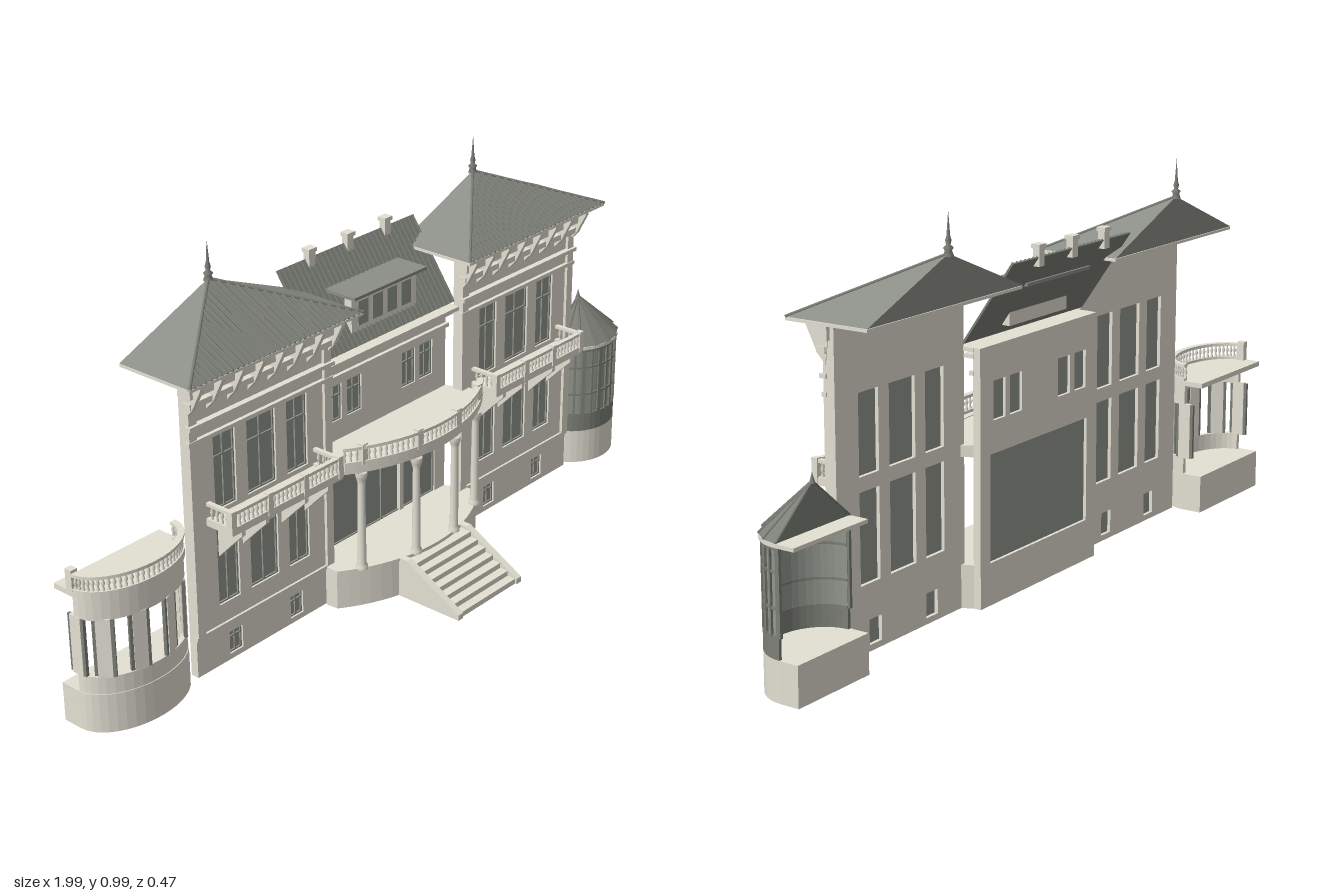
import * as THREE from 'three';

const mat = (name, color) => new THREE.MeshStandardMaterial({ name, color, side: THREE.DoubleSide });

export function createModel() {
  const stone = mat('stone', 0xe3e0d3), glass = mat('glass', 0x93978e);
  const slate = mat('slate', 0x8c8f87), tile = mat('roof tile and turret frame', 0x7d8078);
  const model = new THREE.Group();

  const add = (parent, name, geo, m, x = 0, y = 0, z = 0) => {
    const o = new THREE.Mesh(geo, m);
    o.name = name;
    o.position.set(x, y, z);
    parent.add(o);
    return o;
  };
  const group = (name, parent = model) => {
    const g = new THREE.Group();
    g.name = name;
    parent.add(g);
    return g;
  };
  // box from its two corners
  const box = (p, name, m, x0, x1, y0, y1, z0, z1) =>
    add(p, name, new THREE.BoxGeometry(x1 - x0, y1 - y0, z1 - z0), m, (x0 + x1) / 2, (y0 + y1) / 2, (z0 + z1) / 2);
  // plan outline of [x, z] points raised from y0 to y1
  const slab = (p, name, m, pts, y0, y1) => {
    const s = new THREE.Shape(pts.map(([x, z]) => new THREE.Vector2(x, -z)));
    const g = new THREE.ExtrudeGeometry(s, { depth: y1 - y0, bevelEnabled: false }).rotateX(-Math.PI / 2);
    return add(p, name, g, m, 0, y0, 0);
  };
  // side outline of [z, y] points, given width along x
  const sidePlate = (p, name, m, pts, x, w) => {
    const s = new THREE.Shape(pts.map(([z, y]) => new THREE.Vector2(-z, y)));
    const g = new THREE.ExtrudeGeometry(s, { depth: w, bevelEnabled: false }).rotateY(Math.PI / 2);
    return add(p, name, g, m, x - w / 2, 0, 0);
  };
  const arc = (e, off = 0, n = 20) => Array.from({ length: n + 1 }, (_, i) => {
    const a = -e.a + 2 * e.a * i / n;
    return [e.x + (e.rx + off) * Math.sin(a), e.z + (e.rz + off) * Math.cos(a), a];
  });
  const arcBand = (p, name, m, e, o0, o1, y0, y1) =>
    slab(p, name, m, [...arc(e, o1), ...arc(e, o0).reverse()], y0, y1);
  // wall sheet with rectangular openings [x0, x1, y0, y1], each glazed and framed
  const wall = (p, name, x0, x1, y0, y1, zb, zf, holes) => {
    const rect = (C, a, b, c, d) => new C([[a, c], [b, c], [b, d], [a, d]].map(q => new THREE.Vector2(...q)));
    const s = rect(THREE.Shape, x0, x1, y0, y1);
    holes.forEach(h => s.holes.push(rect(THREE.Path, ...h)));
    add(p, name, new THREE.ExtrudeGeometry(s, { depth: zf - zb, bevelEnabled: false }), stone, 0, 0, zb);
    holes.forEach(([a, b, c, d]) => {
      const z = (zb + zf) / 2, t = 0.004;
      box(p, 'windowPane', glass, a, b, c, d, z - 0.002, z + 0.002);
      for (const x of [a + t / 2, (a + b) / 2, b - t / 2]) box(p, 'windowFrame', glass, x - t / 2, x + t / 2, c, d, z, z + 0.006);
      for (const y of [c + t / 2, c + (d - c) * 0.7, d - t / 2]) box(p, 'windowFrame', glass, a, b, y - t / 2, y + t / 2, z, z + 0.006);
    });
  };
  const lathe = (pts, n = 8) => new THREE.LatheGeometry(pts.map(q => new THREE.Vector2(...q)), n);
  const balusterGeo = lathe([[0.004, 0], [0.004, 0.006], [0.002, 0.012], [0.005, 0.022], [0.002, 0.034], [0.004, 0.04]], 6);
  const balusters = (p, pts, y, h) => pts.forEach(([x, z]) => {
    add(p, 'baluster', balusterGeo, stone, x, y, z).scale.y = h / 0.04;
  });
  const arcRailing = (p, e, y, h, n) => {
    arcBand(p, 'bottomRail', stone, e, -0.012, 0.002, y, y + 0.007);
    arcBand(p, 'handrail', stone, e, -0.013, 0.003, y + h - 0.008, y + h);
    balusters(p, arc(e, -0.005, n), y + 0.006, h - 0.013);
  };

  // side wings, each a wall sheet with balcony, cornice and half-pyramid roof
  for (const [side, cx] of [['right', -0.447], ['left', 0.515]]) {
    const w = group(side + 'Wing');
    w.position.x = cx;
    const holes = [];
    for (const [a, b] of [[-0.155, -0.085], [-0.047, 0.047], [0.085, 0.155]])
      holes.push([a, b, 0.16, 0.375], [a, b, 0.41, 0.6]);
    for (const x of [-0.105, 0.105]) holes.push([x - 0.022, x + 0.022, 0.015, 0.075]);
    wall(w, 'wingWall', -0.234, 0.234, 0, 0.77, -0.09, -0.068, holes);
    box(w, 'plinthBand', stone, -0.236, 0.236, 0.1, 0.11, -0.07, -0.062);
    box(w, 'cornice', stone, -0.238, 0.238, 0.605, 0.615, -0.07, -0.058);
    box(w, 'cornice', stone, -0.238, 0.238, 0.645, 0.655, -0.07, -0.052);
    box(w, 'frieze', stone, -0.24, 0.24, 0.7, 0.715, -0.07, -0.047);
    box(w, 'frieze', stone, -0.245, 0.245, 0.73, 0.77, -0.08, -0.04);
    for (const x of [-0.222, 0.222]) box(w, 'cornerPilaster', stone, x - 0.012, x + 0.012, 0.11, 0.7, -0.07, -0.06);
    for (let i = 0; i < 8; i++)
      sidePlate(w, 'eaveBracket', stone, [[-0.016, 0.77], [-0.016, 0.757], [-0.03, 0.73], [-0.045, 0.7], [-0.068, 0.675], [-0.08, 0.77]], -0.23 + i * 0.46 / 7, 0.012);

    // balcony
    const b = group('balcony', w);
    box(b, 'balconyFloor', stone, -0.185, 0.185, 0.385, 0.398, -0.07, 0.015);
    for (const [name, y, h] of [['bottomRail', 0.398, 0.006], ['handrail', 0.436, 0.008]]) {
      box(b, name, stone, -0.185, 0.185, y, y + h, 0.003, 0.015);
      for (const s of [-1, 1]) box(b, name, stone, s * 0.179 - 0.006, s * 0.179 + 0.006, y, y + h, -0.07, 0.004);
    }
    const pts = [];
    for (let i = 0; i < 25; i++) pts.push([-0.17 + i * 0.34 / 24, 0.009]);
    for (const s of [-1, 1]) for (let i = 0; i < 4; i++) pts.push([s * 0.179, -0.055 + i * 0.016]);
    balusters(b, pts, 0.402, 0.036);
    for (const x of [-0.18, -0.06, 0.06, 0.18]) box(b, 'railingPost', stone, x - 0.008, x + 0.008, 0.39, 0.447, 0.001, 0.017);
    for (const x of [-0.145, -0.066, 0.066, 0.145])
      sidePlate(b, 'balconyBracket', stone, [[0.01, 0.387], [0.01, 0.37], [-0.025, 0.335], [-0.068, 0.29], [-0.068, 0.387]], x, 0.012);

    // half-pyramid roof
    const r = group('wingRoof', w), H = 0.283, y0 = 0.78, y1 = 0.895, zb = -0.22;
    box(r, 'eaves', stone, -H, H, 0.772, y0 - 0.001, zb, 0);
    const g = new THREE.BufferGeometry();
    const A = [-H, y0, 0], B = [H, y0, 0], C = [H, y0, zb], D = [-H, y0, zb], P = [0, y1, zb];
    g.setAttribute('position', new THREE.Float32BufferAttribute([B, C, P, C, D, P, D, A, P].flat(), 3));
    g.computeVertexNormals();
    add(r, 'roofSides', g, slate);
    const f = new THREE.BufferGeometry();
    f.setAttribute('position', new THREE.Float32BufferAttribute([A, B, P].flat(), 3));
    f.computeVertexNormals();
    add(r, 'roofFront', f, tile);
    const slope = Math.hypot(y1 - y0, zb), tilt = Math.atan2(zb, y1 - y0);
    for (let i = -16; i <= 16; i++) {
      const x = i * H / 17, k = 1 - Math.abs(i) / 17;
      const rib = add(r, 'tileRib', new THREE.CylinderGeometry(0.0035, 0.0035, slope * k, 6), tile, x, y0 + (y1 - y0) * k / 2, zb * k / 2);
      rib.rotation.x = tilt;
    }
    for (const s of [-1, 1]) {
      const hip = new THREE.LineCurve3(new THREE.Vector3(s * H, y0, 0), new THREE.Vector3(...P));
      add(r, 'hipRidge', new THREE.TubeGeometry(hip, 1, 0.004, 6), tile);
    }
    add(r, 'finial', lathe([[0.012, 0], [0.008, 0.012], [0.012, 0.018], [0.005, 0.024], [0.007, 0.034], [0.004, 0.045], [0.003, 0.06], [0, 0.1]]), tile, 0, 0.89, zb);
  }

  // central block
  const c = group('centralBlock'), cx = 0.035;
  wall(c, 'centralWall', -0.212, 0.282, 0, 0.63, -0.137, -0.117, [
    [-0.165, -0.115, 0.45, 0.545], [-0.095, -0.042, 0.45, 0.545], [0.112, 0.162, 0.45, 0.545], [0.18, 0.23, 0.45, 0.545],
    [-0.172, 0.242, 0.105, 0.37]]);
  for (const x of [-0.04, 0.108]) box(c, 'doorPost', stone, x - 0.007, x + 0.007, 0.105, 0.37, -0.125, -0.115);
  for (const [y, d] of [[0.565, 0.01], [0.605, 0.025], [0.62, 0.045]]) box(c, 'cornice', stone, -0.214, 0.284, y, y + 0.01, -0.12, -0.117 + d);
  // sloping tiled roof sheet
  const cr = group('centralRoof'), len = Math.hypot(0.2, 0.138), ang = -Math.atan2(0.138, 0.2);
  add(cr, 'roofSheet', new THREE.BoxGeometry(0.5, len, 0.004), tile, cx, 0.738, -0.16).rotation.x = ang;
  for (let i = 0; i <= 30; i++)
    add(cr, 'tileRib', new THREE.CylinderGeometry(0.003, 0.003, len, 6), tile, cx - 0.246 + i * 0.0164, 0.739, -0.158).rotation.x = ang;
  for (const x of [-0.105, 0.033, 0.172]) {
    box(cr, 'chimney', stone, x - 0.011, x + 0.011, 0.815, 0.86, -0.232, -0.214);
    box(cr, 'chimneyCap', stone, x - 0.014, x + 0.014, 0.857, 0.867, -0.235, -0.211);
  }
  // dormer
  box(cr, 'dormerFront', stone, -0.085, 0.155, 0.66, 0.762, -0.131, -0.108);
  box(cr, 'dormerRoof', slate, -0.1, 0.168, 0.762, 0.77, -0.19, -0.084);
  for (let i = 0; i < 4; i++) {
    const x = -0.045 + i * 0.053;
    box(cr, 'dormerPane', glass, x - 0.018, x + 0.018, 0.682, 0.745, -0.109, -0.105);
  }

  // curved porch
  const p = group('porch');
  const e = { x: cx, z: -0.392, rx: 0.457, rz: 0.457, a: 0.645 };
  const plan = off => [...arc(e, off), [cx + 0.275, -0.06], [0.28, -0.12], [-0.21, -0.12], [cx - 0.275, -0.06]];
  slab(p, 'porchBase', stone, plan(-0.004), 0, 0.098);
  slab(p, 'porchFloor', stone, plan(0), 0.098, 0.107);
  slab(p, 'balconyFloor', stone, plan(0), 0.37, 0.398);
  const er = { ...e, a: 0.6, rx: 0.467, rz: 0.467 };
  arcBand(p, 'balconyEdge', stone, er, -0.03, 0, 0.383, 0.4);
  arcRailing(p, er, 0.4, 0.046, 36);
  const columnGeo = lathe([[0.015, 0], [0.015, 0.008], [0.011, 0.016], [0.0105, 0.1], [0.009, 0.235], [0.013, 0.25], [0.015, 0.256], [0.015, 0.265]], 12);
  for (const dx of [-0.22, -0.074, 0.074, 0.22]) {
    const z = e.z + Math.sqrt(0.455 ** 2 - dx * dx);
    add(p, 'column', columnGeo, stone, cx + dx, 0.106, z);
    box(p, 'railingPost', stone, cx + dx - 0.009, cx + dx + 0.009, 0.398, 0.45, z - 0.004, z + 0.014);
  }
  // steps with sloping cheek walls
  const st = group('frontStairs');
  for (let i = 0; i < 7; i++) box(st, 'step', stone, -0.075, 0.145, 0, 0.014 * (i + 1), 0.04, 0.23 - i * 0.024);
  for (const x of [-0.081, 0.151])
    sidePlate(st, 'stairCheek', stone, [[0.235, 0], [0.235, 0.015], [0.07, 0.107], [0.04, 0.107], [0.04, 0]], x, 0.018);

  // rounded bay with a roof terrace: broad pillars between narrow framed openings
  const lb = group('terraceBay');
  const eb = { x: -0.84, z: -0.12, rx: 0.157, rz: 0.1, a: Math.PI / 2 };
  const bayPlan = (q, off) => [...arc(q, off), [q.x + q.rx + off, -0.175], [q.x - q.rx - off, -0.175]];
  slab(lb, 'bayBase', stone, bayPlan(eb, 0), 0, 0.1);
  arcBand(lb, 'baySill', stone, eb, -0.014, -0.002, 0.1, 0.145);
  arcBand(lb, 'bayLintel', stone, eb, -0.014, -0.002, 0.29, 0.35);
  slab(lb, 'bayCeiling', stone, bayPlan(eb, 0.002), 0.345, 0.358);
  arcRailing(lb, eb, 0.358, 0.045, 32);
  arc(eb, -0.008, 5).forEach(([x, z, a]) => {
    add(lb, 'bayPillar', new THREE.BoxGeometry(0.034, 0.15, 0.012), stone, x, 0.218, z).rotation.y = a;
    for (const s of [-1, 1])
      add(lb, 'bayFrame', new THREE.BoxGeometry(0.008, 0.147, 0.008), tile, x + s * 0.021 * Math.cos(a), 0.218, z - s * 0.021 * Math.sin(a)).rotation.y = a;
  });
  box(lb, 'terracePost', stone, -0.999, -0.981, 0.358, 0.41, -0.135, -0.115);

  // glazed half-round turret
  const t = group('glazedTurret');
  const et = { x: 0.87, z: -0.125, rx: 0.118, rz: 0.105, a: Math.PI / 2 };
  slab(t, 'turretBase', stone, bayPlan(et, 0), 0, 0.096);
  arcBand(t, 'turretPanel', tile, et, -0.008, 0, 0.096, 0.145);
  arcBand(t, 'turretGlass', glass, et, -0.008, -0.004, 0.145, 0.345);
  for (const y of [0.143, 0.205, 0.285, 0.335]) arcBand(t, 'turretBar', tile, et, -0.009, 0, y, y + 0.006);
  arc(et, -0.003, 14).forEach(([x, z, a], i) => {
    const w = i % 2 ? 0.005 : 0.011;
    add(t, 'turretMullion', new THREE.BoxGeometry(w, 0.2, 0.008), tile, x, 0.244, z).rotation.y = a;
  });
  slab(t, 'turretCeiling', stone, bayPlan(et, 0.004), 0.343, 0.352);
  const cone = new THREE.CylinderGeometry(0.003, 0.122, 0.105, 8, 1, false, -Math.PI / 2, Math.PI).toNonIndexed();
  cone.computeVertexNormals();
  add(t, 'turretRoof', cone, tile, et.x, 0.404, et.z).scale.z = 0.9;
  const back = new THREE.Shape([[-0.122, 0], [0.122, 0], [0, 0.106]].map(q => new THREE.Vector2(...q)));
  add(t, 'turretRoofBack', new THREE.ShapeGeometry(back), tile, et.x, 0.352, et.z);
  arc({ ...et, rx: 0.122, rz: 0.11 }, 0, 8).forEach(([x, z]) => {
    const line = new THREE.LineCurve3(new THREE.Vector3(x, 0.353, z), new THREE.Vector3(et.x, 0.458, et.z));
    add(t, 'turretRib', new THREE.TubeGeometry(line, 1, 0.003, 5), tile);
  });
  add(t, 'turretFinial', lathe([[0.007, 0], [0.004, 0.01], [0, 0.025]]), tile, et.x, 0.453, et.z);
  return model;
}
